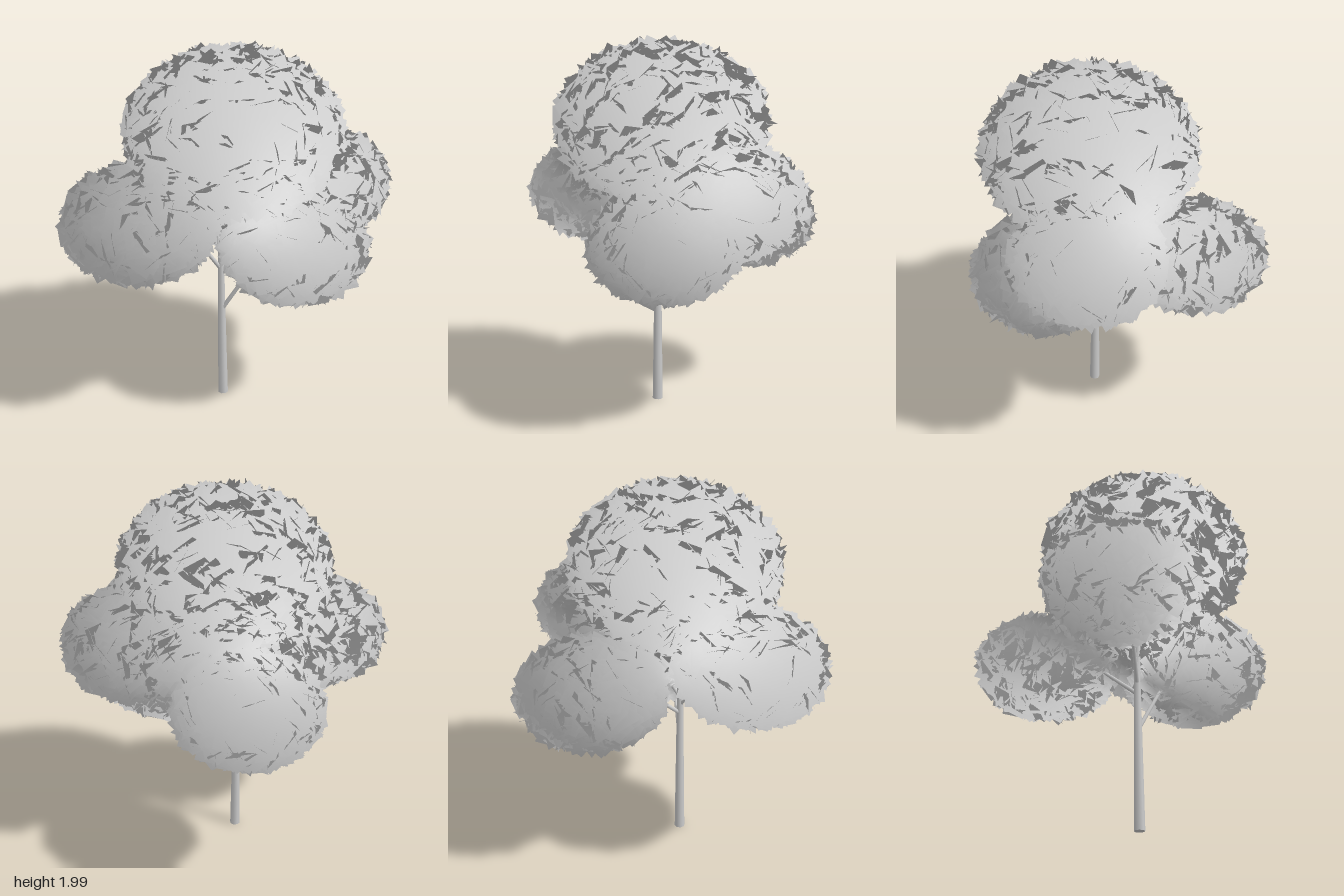
import * as THREE from 'three';

// small seeded random generator
function makeRandom(seed) {
  let s = seed;
  return () => {
    s = (s * 16807) % 2147483647;
    return s / 2147483647;
  };
}

// leaf normals fan out from this point so the masses shade as one canopy
const SHADING_CENTRE = new THREE.Vector3(0, 0.85, 0.03);

// foliage masses: centre and outer radii
const CLUSTERS = [
  { name: 'crownFoliage', c: [0.02, 1.54, 0.08], r: [0.58, 0.45, 0.58], count: 1800 },
  { name: 'frontRightFoliage', c: [-0.39, 1.13, 0.39], r: [0.42, 0.31, 0.41], count: 1000 },
  { name: 'frontLeftFoliage', c: [0.35, 0.96, 0.1], r: [0.41, 0.3, 0.41], count: 1000 },
  { name: 'backLeftFoliage', c: [0.4, 1.2, -0.22], r: [0.4, 0.31, 0.41], count: 1000 },
  { name: 'backRightFoliage', c: [-0.25, 0.98, -0.4], r: [0.4, 0.29, 0.41], count: 1000 },
];

// shell of randomly tilted square leaf cards over an ellipsoid
function foliage({ name, c, r, count }, seed, material) {
  const random = makeRandom(seed);
  const spread = (a) => (random() * 2 - 1) * a;
  const centre = new THREE.Vector3(...c);
  const inner = new THREE.Vector3(...r).subScalar(0.058);
  const positions = [], normals = [], index = [];
  const turn = new THREE.Quaternion();
  const zAxis = new THREE.Vector3(0, 0, 1);

  for (let i = 0; i < count; i++) {
    // evenly spiralled direction with a little jitter
    const y = 1 - (2 * (i + 0.5)) / count;
    const ring = Math.sqrt(1 - y * y);
    const a = i * 2.39996;
    const dir = new THREE.Vector3(Math.cos(a) * ring + spread(0.06), y + spread(0.06), Math.sin(a) * ring + spread(0.06)).normalize();
    const out = dir.clone().divide(inner).normalize();
    const p = dir.clone().multiply(inner).multiplyScalar(0.95 + random() * 0.05).add(centre);

    // any tilt, kept on the outward side
    const facing = new THREE.Vector3(spread(1), spread(1), spread(1)).normalize();
    if (facing.dot(out) < 0) facing.negate();
    facing.addScaledVector(out, 0.3).normalize();
    turn.setFromUnitVectors(zAxis, facing);
    const spin = random() * Math.PI * 2;
    const half = 0.07 + random() * 0.015;
    for (let k = 0; k < 4; k++) {
      const t = spin + (k * Math.PI) / 2;
      const v = new THREE.Vector3(Math.cos(t) * half, Math.sin(t) * half, 0).applyQuaternion(turn).add(p);
      const n = v.clone().sub(SHADING_CENTRE).normalize();
      positions.push(v.x, v.y, v.z);
      normals.push(n.x, n.y, n.z);
    }
    const b = i * 4;
    index.push(b, b + 1, b + 2, b, b + 2, b + 3);
  }

  const geometry = new THREE.BufferGeometry();
  geometry.setAttribute('position', new THREE.Float32BufferAttribute(positions, 3));
  geometry.setAttribute('normal', new THREE.Float32BufferAttribute(normals, 3));
  geometry.setIndex(index);
  const mesh = new THREE.Mesh(geometry, material);
  mesh.name = name;
  return mesh;
}

// tapered round limb between two points
function limb(name, from, to, r0, r1, material) {
  const a = new THREE.Vector3(...from), b = new THREE.Vector3(...to);
  const axis = b.clone().sub(a);
  const mesh = new THREE.Mesh(new THREE.CylinderGeometry(r1, r0, axis.length(), 8), material);
  mesh.position.copy(a).add(b).multiplyScalar(0.5);
  mesh.quaternion.setFromUnitVectors(new THREE.Vector3(0, 1, 0), axis.normalize());
  mesh.name = name;
  return mesh;
}

export function createModel() {
  const tree = new THREE.Group();
  tree.name = 'tree';
  const bark = new THREE.MeshStandardMaterial({ color: 0xcccccc });
  const leaves = new THREE.MeshStandardMaterial({ color: 0xcccccc, side: THREE.DoubleSide });

  // trunk rising into the crown
  tree.add(limb('trunk', [-0.036, 0, 0.105], [-0.046, 0.85, 0.1], 0.028, 0.017, bark));
  tree.add(limb('upperTrunk', [-0.046, 0.85, 0.1], [0.0, 1.5, 0.08], 0.017, 0.008, bark));

  // branches reaching into the lower foliage
  tree.add(limb('frontLeftBranch', [-0.04, 0.53, 0.105], [0.2, 0.92, 0.1], 0.012, 0.008, bark));
  tree.add(limb('backRightBranch', [-0.044, 0.72, 0.1], [-0.15, 0.98, -0.2], 0.012, 0.007, bark));
  tree.add(limb('frontRightBranch', [-0.044, 0.77, 0.1], [-0.22, 1.1, 0.25], 0.012, 0.007, bark));
  tree.add(limb('backLeftBranch', [-0.045, 0.82, 0.1], [0.25, 1.15, -0.12], 0.012, 0.007, bark));

  CLUSTERS.forEach((cluster, i) => tree.add(foliage(cluster, 101 + i * 977, leaves)));
  return tree;
}
